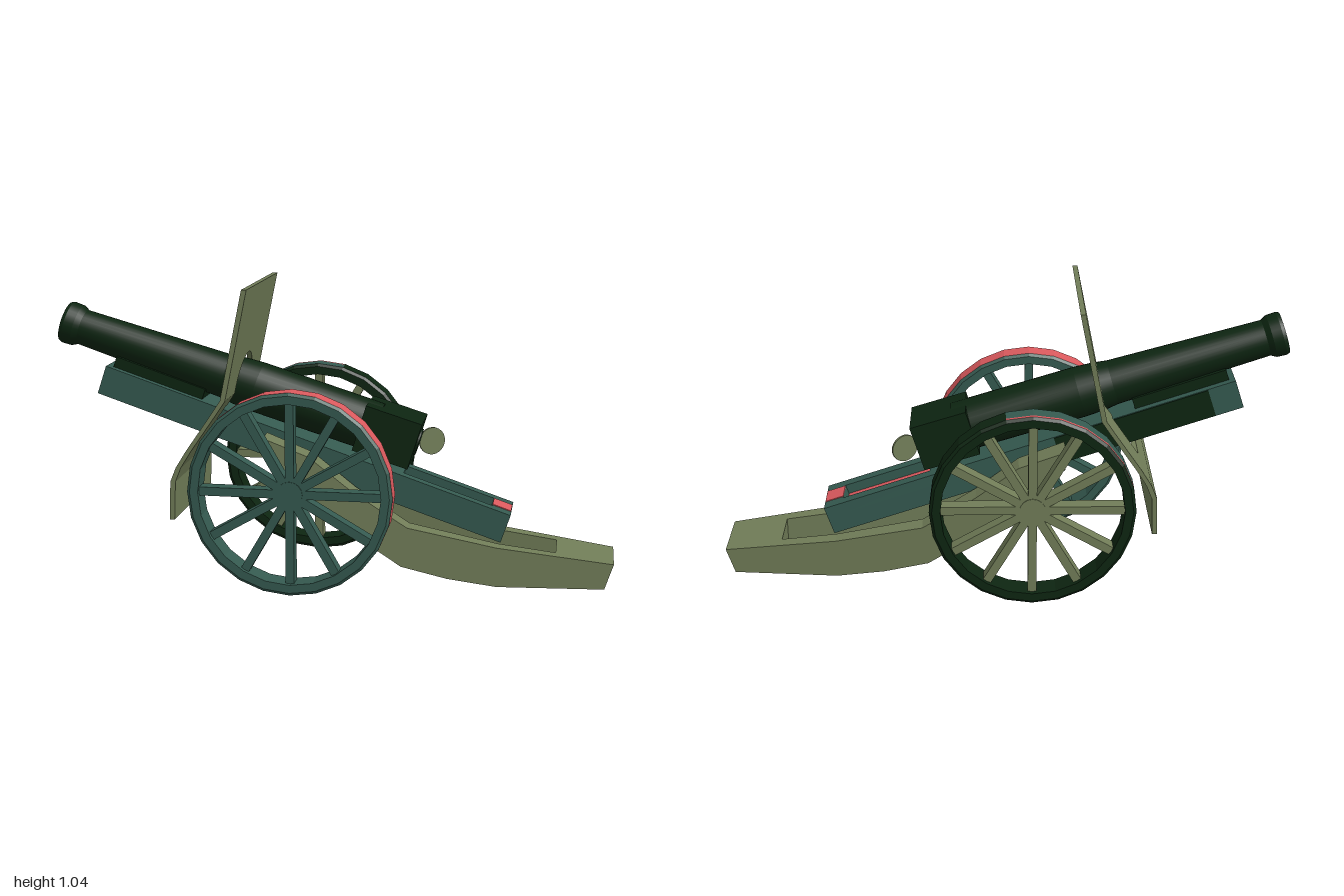
import * as THREE from 'three';

const mat = (name, color) => {
  const m = new THREE.MeshStandardMaterial({ color });
  m.name = name;
  return m;
};

export function createModel() {
  const model = new THREE.Group();
  model.name = 'fieldGun';
  const dark = mat('darkGreen', 0x0d2511);
  const olive = mat('olive', 0x717d58);
  const teal = mat('teal', 0x355a50);
  const red = mat('red', 0xdb5a5e);

  const add = (parent, name, geo, material, x = 0, y = 0, z = 0) => {
    const m = new THREE.Mesh(geo, material);
    m.name = name;
    m.position.set(x, y, z);
    parent.add(m);
    return m;
  };
  const group = (name, x, y, z, tilt = 0) => {
    const g = new THREE.Group();
    g.name = name;
    g.position.set(x, y, z);
    g.rotation.z = tilt;
    model.add(g);
    return g;
  };
  // box given by its extents along the parent's axes
  const box = (parent, name, material, x0, x1, y0, y1, z0, z1) =>
    add(parent, name, new THREE.BoxGeometry(x1 - x0, y1 - y0, z1 - z0), material,
      (x0 + x1) / 2, (y0 + y1) / 2, (z0 + z1) / 2);
  const shapeOf = pts => new THREE.Shape(pts.map(p => new THREE.Vector2(p[0], p[1])));
  // extrude a shape, then move every vertex by a rule
  const bent = (shape, depth, rule) => {
    const geo = new THREE.ExtrudeGeometry(shape, { depth, bevelEnabled: false, curveSegments: 24 });
    const p = geo.attributes.position;
    for (let i = 0; i < p.count; i++) p.setXYZ(i, ...rule(p.getX(i), p.getY(i), p.getZ(i)));
    geo.computeVertexNormals();
    return geo;
  };

  // barrel with bore, the muzzle toward local -x
  const gun = group('gun', 0.305, 0.485, 0, -17.3 * Math.PI / 180);
  const profile = [[0, 0.15], [0.09, 0.15], [0.09, 0.6], [0.086, 0.67], [0.079, 0.72], [0.064, 1.27],
    [0.075, 1.29], [0.077, 1.325], [0.072, 1.337], [0.05, 1.337], [0.046, 1.1], [0, 1.1]];
  // repeated points keep the edges crisp
  const crisp = profile.flatMap(([r, s]) => [new THREE.Vector2(r, s), new THREE.Vector2(r, s + 1e-5)]);
  add(gun, 'barrel', new THREE.LatheGeometry(crisp, 32).rotateZ(Math.PI / 2), dark);
  box(gun, 'breechBlock', dark, -0.205, 0, -0.084, 0.084, -0.095, 0.095);
  add(gun, 'breechPlug', new THREE.CylinderGeometry(0.048, 0.048, 0.008, 24).rotateZ(Math.PI / 2), dark, 0.003);

  // round breech handle
  const handle = add(model, 'breechHandle',
    new THREE.CylinderGeometry(0.049, 0.049, 0.008, 24).rotateX(Math.PI / 2), olive, 0.35, 0.476, -0.06);
  handle.rotation.y = Math.PI / 6;

  // cradle with a grooved rear end
  const cradle = group('cradle', -0.095, 0.4475, 0, -18.6 * Math.PI / 180);
  box(cradle, 'cradleBody', teal, -0.76, 0.36, -0.052, 0.052, -0.093, 0.093);
  box(cradle, 'cradleFloor', teal, 0.36, 0.69, -0.052, 0.012, -0.093, 0.093);
  box(cradle, 'cradleEnd', teal, 0.69, 0.76, -0.052, 0.052, -0.093, 0.093);
  box(cradle, 'groovePlate', red, 0.36, 0.69, 0.012, 0.017, -0.05, 0.05);
  box(cradle, 'endPlate', red, 0.69, 0.758, 0.05, 0.055, -0.042, 0.042);
  for (const s of [-1, 1]) {
    const rail = box(cradle, 'grooveRail', teal, 0.36, 0.69, 0.012, 0.052, 0.05, 0.093);
    rail.position.z *= s;
  }
  box(cradle, 'barrelSupport', dark, -0.74, -0.4, 0.05, 0.09, -0.065, 0.065);
  box(cradle, 'sidePlate', dark, -0.66, -0.1, -0.05, 0.05, -0.097, -0.092);

  // bent shield, made of panels between the bend heights
  const shield = group('shield', 0, 0, 0);
  const bends = [[-0.53, 0.235], [-0.525, 0.37], [-0.505, 0.42], [-0.468, 0.48],
    [-0.375, 0.615], [-0.345, 0.66], [-0.266, 1.042]];
  const W = 0.263;
  const panel = (shape, k) => {
    const [[xa, ya], [xb, yb]] = [bends[k], bends[k + 1]];
    add(shield, 'shieldPanel', bent(shape, 0.018,
      (a, b, c) => [xa + (xb - xa) * (b - ya) / (yb - ya) + c, b, -a]), olive);
  };
  for (let k = 0; k < 3; k++) {
    const y0 = bends[k][1], y1 = bends[k + 1][1];
    panel(shapeOf([[-W, y0], [W, y0], [W, y1], [-W, y1]]), k);
  }
  for (const s of [-1, 1]) {
    panel(shapeOf([[s * 0.125, 0.48], [s * W, 0.48], [s * W, 0.615], [s * 0.125, 0.615]]), 3);
    panel(shapeOf([[s * 0.095, 0.615], [s * W, 0.615], [s * W, 0.66], [s * 0.112, 0.66]]), 4);
  }
  const upper = new THREE.Shape();
  upper.moveTo(-W, 0.66);
  upper.lineTo(-0.112, 0.66);
  upper.absarc(0, 0.677, 0.113, Math.PI + 0.151, -0.151, true);
  upper.lineTo(W, 0.66);
  upper.lineTo(W, 1.042);
  upper.lineTo(-W, 1.042);
  panel(upper, 5);

  // trail: two tapering cheeks joined by a tail block
  const trail = group('trail', 0, 0, 0);
  const outer = x => 0.213 - 0.085 * (x + 0.21);
  const inner = x => 0.12 - 0.04 * (x + 0.21);
  const cheek = shapeOf([[-0.21, 0.46], [-0.05, 0.32], [0.1, 0.19], [0.27, 0.075], [0.43, 0.035], [0.6, 0.01],
    [0.8, 0.01], [0.8, 0.125], [0.6, 0.15], [0.29, 0.215], [0.1, 0.34], [-0.05, 0.46], [-0.21, 0.525]]);
  add(trail, 'leftCheek', bent(cheek, 1, (x, y, t) => [x, y, inner(x) + t * (outer(x) - inner(x))]), olive);
  add(trail, 'rightCheek', bent(cheek, 1, (x, y, t) => [x, y, -outer(x) + t * (outer(x) - inner(x))]), olive);
  const tail = shapeOf([[0.8, 0.01], [0.97, 0.01], [1, 0.1], [0.8, 0.125]]);
  add(trail, 'tailBlock', bent(tail, 1, (x, y, t) => [x, y, outer(x) * (2 * t - 1)]), olive);

  // axle, dark on one half and teal on the other
  const half = () => new THREE.CylinderGeometry(0.035, 0.035, 0.265, 20).rotateX(Math.PI / 2);
  add(model, 'axleFrontHalf', half(), dark, -0.095, 0.35, 0.1325);
  add(model, 'axleBackHalf', half(), teal, -0.095, 0.35, -0.1325);

  // faceted ring turned about z, from (radius, z) points, over whole 15 degree steps
  const ring = (pts, from = 0, steps = 24) => {
    const v = pts.map(p => new THREE.Vector2(p[0], p[1]));
    const geo = new THREE.LatheGeometry(v, steps, from * Math.PI / 12, steps * Math.PI / 12)
      .rotateX(Math.PI / 2).toNonIndexed();
    geo.computeVertexNormals();
    return geo;
  };
  const makeWheel = (name, z, rimMat, spokeMat) => {
    const wheel = group(name, -0.095, 0.355, z);
    add(wheel, 'rim', ring([[0.354, 0.034], [0.344, 0.042], [0.315, 0.042], [0.315, -0.042],
      [0.344, -0.042], [0.354, -0.034]]), rimMat);
    add(wheel, 'hub', new THREE.CylinderGeometry(0.045, 0.045, 0.055, 16).rotateX(Math.PI / 2), spokeMat);
    for (let i = 0; i < 12; i++) {
      const spoke = new THREE.BoxGeometry(0.285, 0.03, 0.05).translate(0.1775, 0, 0).rotateZ(i * Math.PI / 6);
      add(wheel, 'spoke', spoke, spokeMat);
    }
    return wheel;
  };
  const tread = [[0.354, -0.034], [0.354, 0.034]];
  const front = makeWheel('frontWheel', 0.292, teal, teal);
  add(front, 'tread', ring(tread), red);
  const back = makeWheel('backWheel', -0.292, dark, olive);
  add(back, 'darkTread', ring(tread, 18, 17), dark);
  add(back, 'tealTread', ring([[0.354, -0.022], [0.354, 0.034]], 11, 7), teal);
  add(back, 'redTread', ring([[0.354, -0.034], [0.354, -0.022]], 11, 7), red);

  return model;
}
